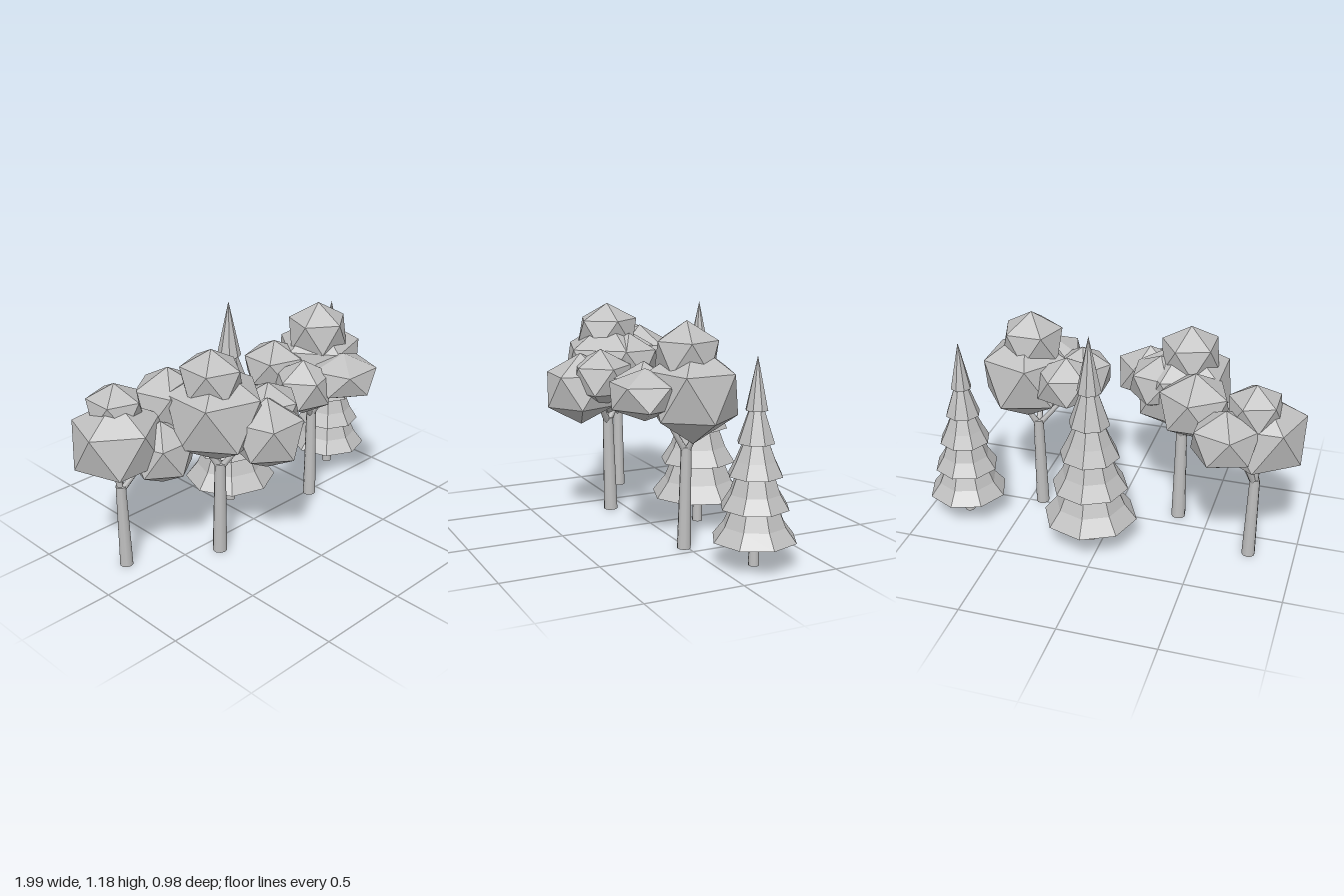
import * as THREE from 'three';

const RAD = Math.PI / 180;
const grey = new THREE.MeshStandardMaterial({ color: 0xc0c0c0 });
grey.name = 'pale grey';

// Faceted mesh: every triangle gets its own normal
function facet(geometry, name) {
  const g = geometry.index ? geometry.toNonIndexed() : geometry;
  g.computeVertexNormals();
  const mesh = new THREE.Mesh(g, grey);
  mesh.name = name;
  return mesh;
}

// Tapered smooth limb between two points
function limb(from, to, r0, r1, name, sides = 10) {
  const a = new THREE.Vector3(...from), b = new THREE.Vector3(...to);
  const dir = b.clone().sub(a);
  const mesh = new THREE.Mesh(new THREE.CylinderGeometry(r1, r0, dir.length(), sides), grey);
  mesh.name = name;
  mesh.position.copy(a).addScaledVector(dir, 0.5);
  mesh.quaternion.setFromUnitVectors(new THREE.Vector3(0, 1, 0), dir.normalize());
  return mesh;
}

// Leaf clump: icosahedron standing on a corner, turned by yaw degrees
function clump([x, y, z, rx, ry, rz, yaw], name) {
  const g = new THREE.IcosahedronGeometry(1, 0);
  g.rotateZ(-Math.atan(2 / (1 + Math.sqrt(5))));
  g.rotateY(-yaw * RAD);
  g.scale(rx, ry, rz);
  g.translate(x, y, z);
  return facet(g, name);
}

function broadleaf({ name, base, top, radius, clumps, branches }) {
  const tree = new THREE.Group();
  tree.name = name;
  tree.add(limb(base, top, radius, radius * 0.75, 'trunk'));
  const start = [top[0], top[1] - 0.03, top[2]];
  branches.forEach((end) => tree.add(limb(start, end, radius * 0.5, radius * 0.35, 'branch', 6)));
  clumps.forEach((c, i) => tree.add(clump(c, i === 0 ? 'mainFoliage' : 'foliageClump')));
  return tree;
}

// Conifer: one stepped profile with five flared tiers
function conifer({ name, x, z, rims, radii, apex, turn }) {
  const tree = new THREE.Group();
  tree.name = name;
  const profile = [new THREE.Vector2(0, rims[0])];
  rims.forEach((y, i) => {
    const last = i === rims.length - 1;
    const r = radii[i], next = last ? apex : rims[i + 1];
    profile.push(new THREE.Vector2(r, y));
    if (last) {
      profile.push(new THREE.Vector2(0, apex));
    } else {
      profile.push(new THREE.Vector2(r * 0.74, y + (next - y) * 0.45));
      profile.push(new THREE.Vector2(radii[i + 1] * 0.7, next));
    }
  });
  tree.add(facet(new THREE.LatheGeometry(profile, 8, turn * RAD), 'needleTiers'));
  tree.add(limb([0, 0, 0], [0, rims[0] + 0.02, 0], 0.027, 0.023, 'trunk'));
  tree.position.set(x, 0, z);
  return tree;
}

export function createModel() {
  const model = new THREE.Group();
  model.name = 'treeGroup';

  // Clumps: x, y, z, radii x y z, yaw
  model.add(broadleaf({
    name: 'rightBroadleafTree', base: [-0.765, 0, -0.15], top: [-0.772, 0.46, -0.15], radius: 0.035,
    branches: [[-0.67, 0.57, -0.1], [-0.79, 0.6, -0.17], [-0.72, 0.62, -0.24]],
    clumps: [
      [-0.783, 0.715, -0.14, 0.25, 0.227, 0.245, 18],
      [-0.755, 0.87, -0.18, 0.15, 0.133, 0.16, 0],
      [-0.61, 0.64, -0.02, 0.18, 0.167, 0.175, 54],
      [-0.635, 0.75, -0.3, 0.187, 0.158, 0.19, 36],
    ],
  }));
  model.add(broadleaf({
    name: 'middleBroadleafTree', base: [-0.334, 0, 0.087], top: [-0.334, 0.52, 0.1], radius: 0.038,
    branches: [[-0.41, 0.64, 0.06], [-0.26, 0.63, 0.18], [-0.34, 0.64, 0.02]],
    clumps: [
      [-0.345, 0.8, 0.09, 0.275, 0.26, 0.27, 0],
      [-0.37, 0.99, 0.085, 0.165, 0.153, 0.18, 0],
      [-0.21, 0.72, 0.305, 0.197, 0.19, 0.205, 54],
      [-0.125, 0.785, 0.225, 0.188, 0.152, 0.172, 0],
      [-0.235, 0.848, 0.015, 0.178, 0.145, 0.17, 30],
      [-0.45, 0.825, -0.145, 0.198, 0.178, 0.195, 54],
    ],
  }));
  model.add(broadleaf({
    name: 'leftBroadleafTree', base: [0.428, 0, 0.016], top: [0.434, 0.52, 0.01], radius: 0.035,
    branches: [[0.29, 0.66, 0.06], [0.5, 0.62, -0.02], [0.44, 0.64, 0.1]],
    clumps: [
      [0.487, 0.795, 0, 0.25, 0.25, 0.245, 36],
      [0.455, 0.978, 0.022, 0.176, 0.167, 0.172, 18],
      [0.43, 0.797, 0.23, 0.2, 0.128, 0.192, 54],
      [0.235, 0.82, -0.085, 0.175, 0.142, 0.178, 0],
      [0.22, 0.77, 0.14, 0.17, 0.152, 0.165, 36],
    ],
  }));

  model.add(conifer({
    name: 'tallConifer', x: 0.062, z: -0.25, apex: 1.18, turn: 4,
    rims: [0.155, 0.337, 0.518, 0.7, 0.88], radii: [0.247, 0.2, 0.157, 0.107, 0.064],
  }));
  model.add(conifer({
    name: 'shortConifer', x: 0.787, z: -0.175, apex: 1.012, turn: -4,
    rims: [0.134, 0.29, 0.447, 0.603, 0.757], radii: [0.21, 0.17, 0.135, 0.092, 0.055],
  }));
  return model;
}
